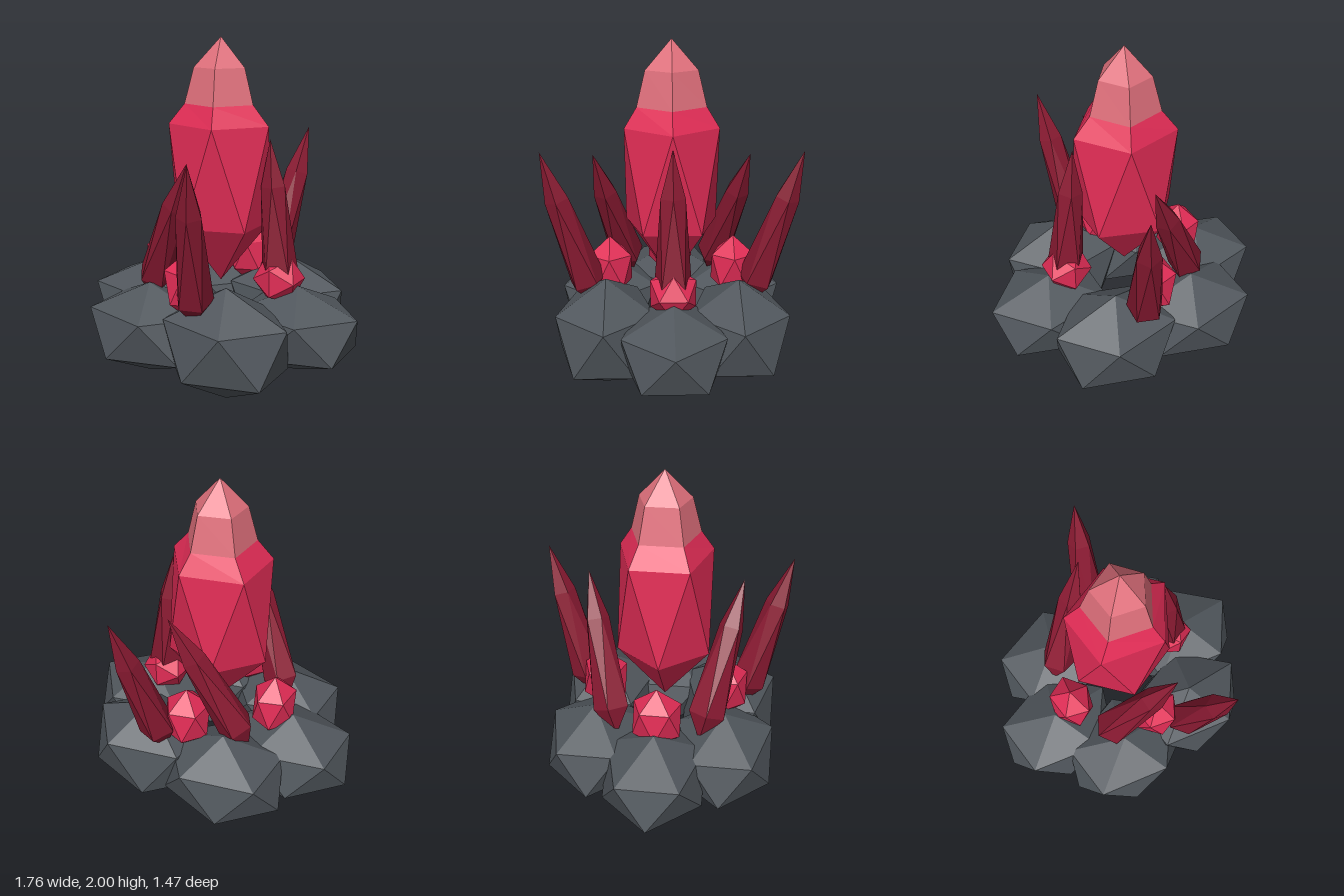
import * as THREE from 'three';

const material = (color) => new THREE.MeshStandardMaterial({ color, flatShading: true });

// Five-sided faceted solid from rings [y, rx, rz, turn]; turn 0.5 staggers the ring
function facetGeometry(rings, sides = 5) {
  const pos = [];
  const corner = ([y, rx, rz, turn], j) => {
    const a = ((j % sides + turn) / sides) * Math.PI * 2;
    return [rx * Math.cos(a), y, rz * Math.sin(a)];
  };
  for (let k = 0; k < rings.length - 1; k++) {
    const lo = rings[k], hi = rings[k + 1];
    for (let j = 0; j < sides; j++) {
      if (hi[1] > 0) pos.push(...corner(lo, j), ...corner(hi, j), ...corner(hi, j + 1));
      if (lo[1] > 0) pos.push(...corner(lo, j), ...corner(hi, j + 1), ...corner(lo, j + 1));
    }
  }
  const g = new THREE.BufferGeometry();
  g.setAttribute('position', new THREE.Float32BufferAttribute(pos, 3));
  g.computeVertexNormals();
  return g;
}

// Icosahedron standing on a corner, with ring radii rx, rz and half height h
const gemGeometry = (rx, rz, h) => facetGeometry([
  [-h, 0, 0, 0.5], [-0.447 * h, rx, rz, 0.5], [0.447 * h, rx, rz, 0], [h, 0, 0, 0],
]);

export function createModel() {
  const group = new THREE.Group();
  const rockMat = material(0x50565c);
  const crystalMat = material(0xe02c55);
  const tipMat = material(0xe0707c);
  const shardMat = material(0x8a1a32);

  const add = (name, geometry, mat, x = 0, y = 0, z = 0) => {
    const mesh = new THREE.Mesh(geometry, mat);
    mesh.name = name;
    mesh.position.set(x, y, z);
    group.add(mesh);
    return mesh;
  };

  // Ring of base rocks: x, y, z, rx, rz, half height
  [
    [0.51, 0.345, 0, 0.37, 0.305, 0.26],
    [-0.51, 0.34, 0, 0.37, 0.305, 0.265],
    [0.255, 0.335, 0.385, 0.375, 0.3, 0.33],
    [0.255, 0.335, -0.385, 0.375, 0.3, 0.315],
    [-0.255, 0.335, 0.385, 0.375, 0.3, 0.275],
    [-0.255, 0.335, -0.385, 0.375, 0.3, 0.275],
  ].forEach(([x, y, z, rx, rz, h]) => add('baseRock', gemGeometry(rx, rz, h), rockMat, x, y, z));

  // Tall central crystal with a paler tip
  add('mainCrystal', facetGeometry([
    [0.555, 0, 0, 0.5], [0.92, 0.31, 0.285, 0.5], [1.51, 0.31, 0.285, 0], [1.625, 0.21, 0.21, 0],
  ]), crystalMat);
  add('crystalTip', facetGeometry([
    [1.625, 0.21, 0.21, 0], [1.83, 0.155, 0.158, 0], [2, 0, 0, 0],
  ]), tipMat);

  // Small gems around its foot
  add('smallGem', gemGeometry(0.125, 0.145, 0.2), crystalMat, -0.38, 0.635, 0);
  add('smallGem', new THREE.IcosahedronGeometry(0.152), crystalMat, 0.39, 0.63, 0);
  for (const s of [1, -1]) {
    add('smallGem', gemGeometry(0.135, 0.135, 0.2), crystalMat, 0, 0.635, s * 0.37);
  }

  // Leaning shards, from the centre of the wide lower ring to the point
  const shard = (foot, point) => {
    const a = new THREE.Vector3(...foot);
    const axis = new THREE.Vector3(...point).sub(a);
    const L = axis.length();
    const mesh = add('shard', facetGeometry([
      [-0.2 * L, 0, 0, 0.5], [0, 0.11, 0.11, 0.5], [0.65 * L, 0.073, 0.073, 0], [L, 0, 0, 0],
    ]), shardMat, ...foot);
    mesh.quaternion.setFromUnitVectors(new THREE.Vector3(0, 1, 0), axis.normalize());
  };
  shard([0.39, 0.68, 0], [0.32, 1.44, 0]);
  for (const s of [1, -1]) {
    shard([-0.28, 0.62, s * 0.28], [0.05, 1.35, s * 0.455]);
    shard([0.12, 0.6, s * 0.5], [0.23, 1.41, s * 0.735]);
  }
  return group;
}
